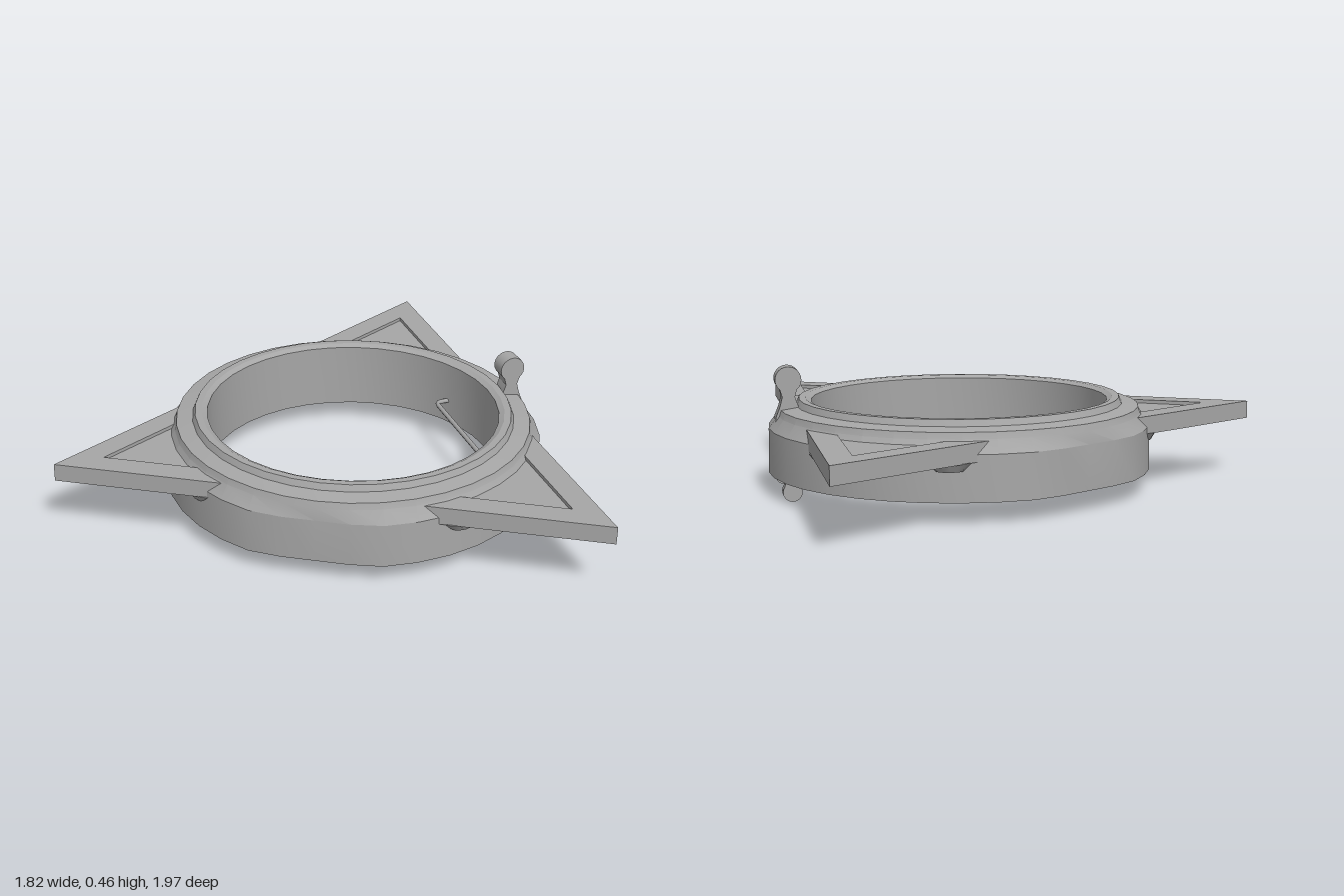
import * as THREE from 'three';
import { toCreasedNormals } from 'three/addons/utils/BufferGeometryUtils.js';

const RING_X = 0.21;
const PLATE_X = 0.23;

const grey = new THREE.MeshStandardMaterial({ color: 0xa6a6a6 });
grey.name = 'grey metal';

function part(name, geometry, parent) {
  const mesh = new THREE.Mesh(geometry, grey);
  mesh.name = name;
  parent.add(mesh);
  return mesh;
}

const toShape = (pts) => new THREE.Shape(pts.map(([x, y]) => new THREE.Vector2(x, y)));

// Horizontal slab between two heights
function slab(pts, y0, y1) {
  const g = new THREE.ExtrudeGeometry(toShape(pts), { depth: y1 - y0, bevelEnabled: false });
  return g.rotateX(-Math.PI / 2).translate(0, y0, 0);
}

// Upright profile in x and y, given a thickness centred on z
function upright(pts, width, z) {
  const g = new THREE.ExtrudeGeometry(toShape(pts), { depth: width, bevelEnabled: false });
  return toCreasedNormals(g.translate(0, 0, z - width / 2), 0.6);
}

// Points along an arc, angles in degrees
function arc(cx, cy, r, from, to, n = 14) {
  return Array.from({ length: n + 1 }, (_, i) => {
    const a = THREE.MathUtils.degToRad(from + (to - from) * i / n);
    return [cx + r * Math.cos(a), cy + r * Math.sin(a)];
  });
}

// Stepped ring with a groove underneath and two flattened sides
function ringGeometry() {
  const profile = [
    [0.54, 0.08], [0.585, 0.08], [0.585, 0.125], [0.655, 0.125], [0.655, 0.075],
    [0.698, 0.075], [0.695, 0.235], [0.662, 0.28], [0.655, 0.303], [0.595, 0.312],
    [0.585, 0.335], [0.56, 0.335], [0.54, 0.325], [0.54, 0.08],
  ];
  const g = new THREE.LatheGeometry(profile.map(([r, y]) => new THREE.Vector2(r, y)), 36);
  const p = g.attributes.position;
  for (const side of [-1, 1]) {
    const nx = -0.5, nz = 0.866 * side;
    for (let i = 0; i < p.count; i++) {
      const x = p.getX(i), z = p.getZ(i);
      const over = x * nx + z * nz - 0.67;
      if (over > 0) {
        p.setX(i, x - nx * over);
        p.setZ(i, z - nz * over);
      }
    }
  }
  return toCreasedNormals(g, 0.35);
}

export function createModel() {
  const model = new THREE.Group();
  model.name = 'triangularRingMount';

  part('ring', ringGeometry(), model).position.x = RING_X;

  // Three pointed corners, each a raised border round a recessed panel
  const border = [
    [1.14, 0], [0.39, 0.433], [0.5, 0.266], [0.96, 0], [0.5, -0.266], [0.39, -0.433],
  ].reverse();
  const panel = [[0.96, 0], [0.59, 0.1], [0.59, -0.1]];
  panel.splice(1, 0, [0.5, 0.266]);
  panel.push([0.5, -0.266]);
  for (const degrees of [60, 180, 300]) {
    const corner = new THREE.Group();
    corner.name = 'corner';
    corner.position.x = PLATE_X;
    corner.rotation.y = THREE.MathUtils.degToRad(degrees);
    model.add(corner);
    part('cornerBorder', slab(border, 0.21, 0.275), corner);
    part('cornerPanel', slab(panel, 0.225, 0.262), corner);
    // Small lugs under the plate where it meets the ring
    for (const side of [-1, 1]) {
      const lug = part('supportLug', new THREE.CylinderGeometry(0.075, 0.045, 0.03, 12), corner);
      lug.scale.x = 0.6;
      lug.position.set(0.66, 0.197, side * 0.215);
      lug.rotation.y = -side * 0.33;
    }
  }

  // Upright tab with a round head
  const tab = [
    [0.795, 0.26], [0.885, 0.24], [0.88, 0.28], [0.866, 0.315], [0.857, 0.35],
    ...arc(0.835, 0.412, 0.047, -50, 230, 18), [0.812, 0.35], [0.8, 0.315],
  ];
  part('topTab', upright(tab, 0.065, 0), model);

  // Paired hinge lugs with short inner pins below the ring
  for (const side of [-1, 1]) {
    const lug = [...arc(0.84, 0.035, 0.034, -215, 35), [0.862, 0.075], [0.872, 0.13], [0.805, 0.13], [0.818, 0.075]];
    part('hingeLug', upright(lug, 0.042, side * 0.164), model);
    const pin = part('hingePin', new THREE.CylinderGeometry(0.018, 0.018, 0.04, 14), model);
    pin.rotation.x = Math.PI / 2;
    pin.position.set(0.84, 0.036, side * 0.125);
  }

  // Bent wire handle on the inner wall
  const wire = new THREE.CurvePath();
  const v = (x, z) => new THREE.Vector3(x, 0.17, z);
  wire.add(new THREE.QuadraticBezierCurve3(v(0.75, -0.22), v(0.7, -0.25), v(0.67, -0.242)));
  wire.add(new THREE.QuadraticBezierCurve3(v(0.67, -0.242), v(0.643, -0.242), v(0.643, -0.21)));
  wire.add(new THREE.LineCurve3(v(0.643, -0.21), v(0.643, 0.21)));
  wire.add(new THREE.QuadraticBezierCurve3(v(0.643, 0.21), v(0.643, 0.242), v(0.67, 0.242)));
  wire.add(new THREE.QuadraticBezierCurve3(v(0.67, 0.242), v(0.7, 0.25), v(0.75, 0.22)));
  part('wireHandle', new THREE.TubeGeometry(wire, 60, 0.009, 8, false), model);

  return model;
}
